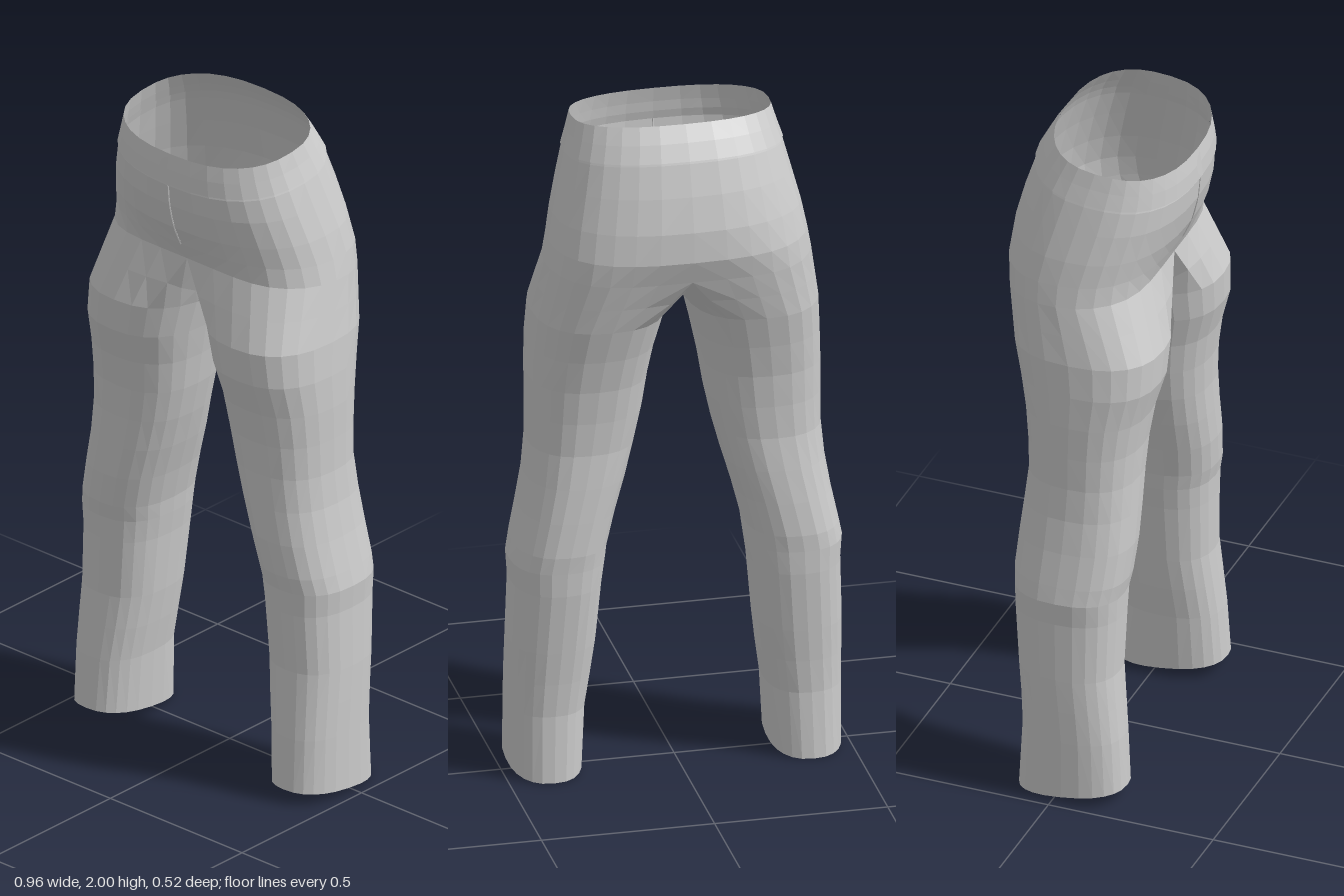
import * as THREE from 'three';

const material = new THREE.MeshStandardMaterial({ color: 0xcccccc, flatShading: true, side: THREE.DoubleSide });
const ROUND = 0.82; // below 1 makes the sections fuller than an ellipse
const ARC = 16;     // segments on the outer arc of a half
const INNER = 8;    // segments on the inner thigh
const soft = (v) => Math.sign(v) * Math.abs(v) ** ROUND;

// Skin a list of cross-sections running from top to bottom
function loft(name, rows, side, closed) {
  const n = rows[0].length;
  const index = [];
  for (let j = 0; j < rows.length - 1; j++) {
    for (let i = 0; i < (closed ? n : n - 1); i++) {
      const a = j * n + i, b = j * n + (i + 1) % n, c = a + n, d = b + n;
      if (side > 0) index.push(a, c, b, b, c, d);
      else index.push(a, b, c, b, d, c);
    }
  }
  const geometry = new THREE.BufferGeometry();
  const points = rows.flat().flatMap(([x, y, z]) => [x * side, y, z]);
  geometry.setAttribute('position', new THREE.Float32BufferAttribute(points, 3));
  geometry.setIndex(index);
  geometry.computeVertexNormals();
  const mesh = new THREE.Mesh(geometry, material);
  mesh.name = name;
  return mesh;
}

// Half section of the hips, from centre front round the side to centre back
function hipArc([yFront, yBack, width, zFront, zBack, bulge = 0]) {
  return Array.from({ length: ARC + 1 }, (_, i) => {
    const t = Math.PI * i / ARC, c = Math.cos(t);
    const z = (zFront + zBack) / 2 + soft(c) * (zFront - zBack) / 2
      + Math.sign(c) * bulge * Math.sin(2 * t) ** 2;
    const x = i % ARC ? width * soft(Math.sin(t)) : 0;
    return [x, THREE.MathUtils.lerp(yFront, yBack, (1 - c) / 2), z];
  });
}

// Full section of a leg, starting at the front of the inner thigh
function legRing([y, xIn, xOut, zFront, zBack, tilt = 0]) {
  return Array.from({ length: ARC + INNER }, (_, i) => {
    const t = 2 * Math.PI * i / (ARC + INNER) - Math.PI / 6;
    const z = (zFront + zBack) / 2 + soft(Math.cos(t)) * (zFront - zBack) / 2;
    return [(xIn + xOut) / 2 + soft(Math.sin(t)) * (xOut - xIn) / 2, y + tilt * (z - 0.03), z];
  });
}

// y front, y back, half width, z front, z back, bulge
const bandRows = [
  [1.94, 2.0, 0.285, 0.25, -0.142],
  [1.895, 1.955, 0.298, 0.258, -0.172],
  [1.85, 1.908, 0.313, 0.262, -0.198],
];
const hipRows = [
  [1.868, 1.928, 0.303, 0.253, -0.184],
  [1.843, 1.9, 0.312, 0.258, -0.196],
  [1.78, 1.81, 0.332, 0.252, -0.225],
  [1.7, 1.71, 0.355, 0.232, -0.25],
  [1.64, 1.62, 0.37, 0.205, -0.255, 0.008],
  [1.585, 1.55, 0.382, 0.18, -0.232, 0.022],
];
// y, inner x, outer x, z front, z back, hem tilt
const legRows = [
  [1.4, 0.035, 0.41, 0.24, -0.195],
  [1.3, 0.06, 0.417, 0.235, -0.17],
  [1.2, 0.08, 0.42, 0.207, -0.15],
  [1.1, 0.096, 0.42, 0.192, -0.14],
  [1.0, 0.118, 0.421, 0.186, -0.135],
  [0.9, 0.145, 0.43, 0.186, -0.143],
  [0.8, 0.175, 0.447, 0.186, -0.15],
  [0.7, 0.2, 0.468, 0.178, -0.155],
  [0.65, 0.206, 0.478, 0.168, -0.152],
  [0.58, 0.216, 0.473, 0.165, -0.15],
  [0.4, 0.232, 0.479, 0.16, -0.135],
  [0.3, 0.245, 0.48, 0.17, -0.126],
  [0.2, 0.26, 0.48, 0.18, -0.12],
  [0.02, 0.27, 0.48, 0.19, -0.13, 0.125],
];

export function createModel() {
  const group = new THREE.Group();
  group.name = 'trousers';

  const hips = hipRows.map(hipArc);
  const legs = legRows.map(legRing);

  // Top of the leg: the last hip section closed by the crotch curve
  const hipLine = hips.at(-1);
  const front = hipLine[0], back = hipLine[ARC];
  const crotch = Array.from({ length: INNER - 1 }, (_, k) => {
    const s = (k + 1) / INNER;
    return [0, THREE.MathUtils.lerp(back[1], front[1], s) - 0.118 * Math.sin(Math.PI * s),
      THREE.MathUtils.lerp(back[2], front[2], s)];
  });
  const legTop = [...hipLine, ...crotch];
  const thigh = legTop.map((p, i) => p.map((v, k) => (v + legs[0][i][k]) / 2));

  for (const [label, side] of [['left', 1], ['right', -1]]) {
    group.add(
      loft(label + 'Waistband', bandRows.map(hipArc), side, false),
      loft(label + 'Hip', hips, side, false),
      loft(label + 'Leg', [legTop, thigh, ...legs], side, true),
    );
  }

  // Rounded overlap where the waistband closes
  const tabShape = new THREE.Shape();
  tabShape.moveTo(0, -0.04);
  tabShape.lineTo(0, 0.04);
  tabShape.quadraticCurveTo(-0.032, 0.03, -0.032, 0);
  tabShape.quadraticCurveTo(-0.032, -0.03, 0, -0.04);
  const tab = new THREE.Mesh(new THREE.ShapeGeometry(tabShape, 5), material);
  tab.name = 'waistbandTab';
  tab.position.set(0, 1.895, 0.262);
  tab.rotation.x = -0.12;
  group.add(tab);

  // Fly seam down the centre front
  const flyPath = new THREE.CatmullRomCurve3(hips.slice(1, 5).map(([p]) => new THREE.Vector3(...p)));
  const fly = new THREE.Mesh(new THREE.TubeGeometry(flyPath, 8, 0.003, 5), material);
  fly.name = 'flySeam';
  group.add(fly);

  return group;
}
